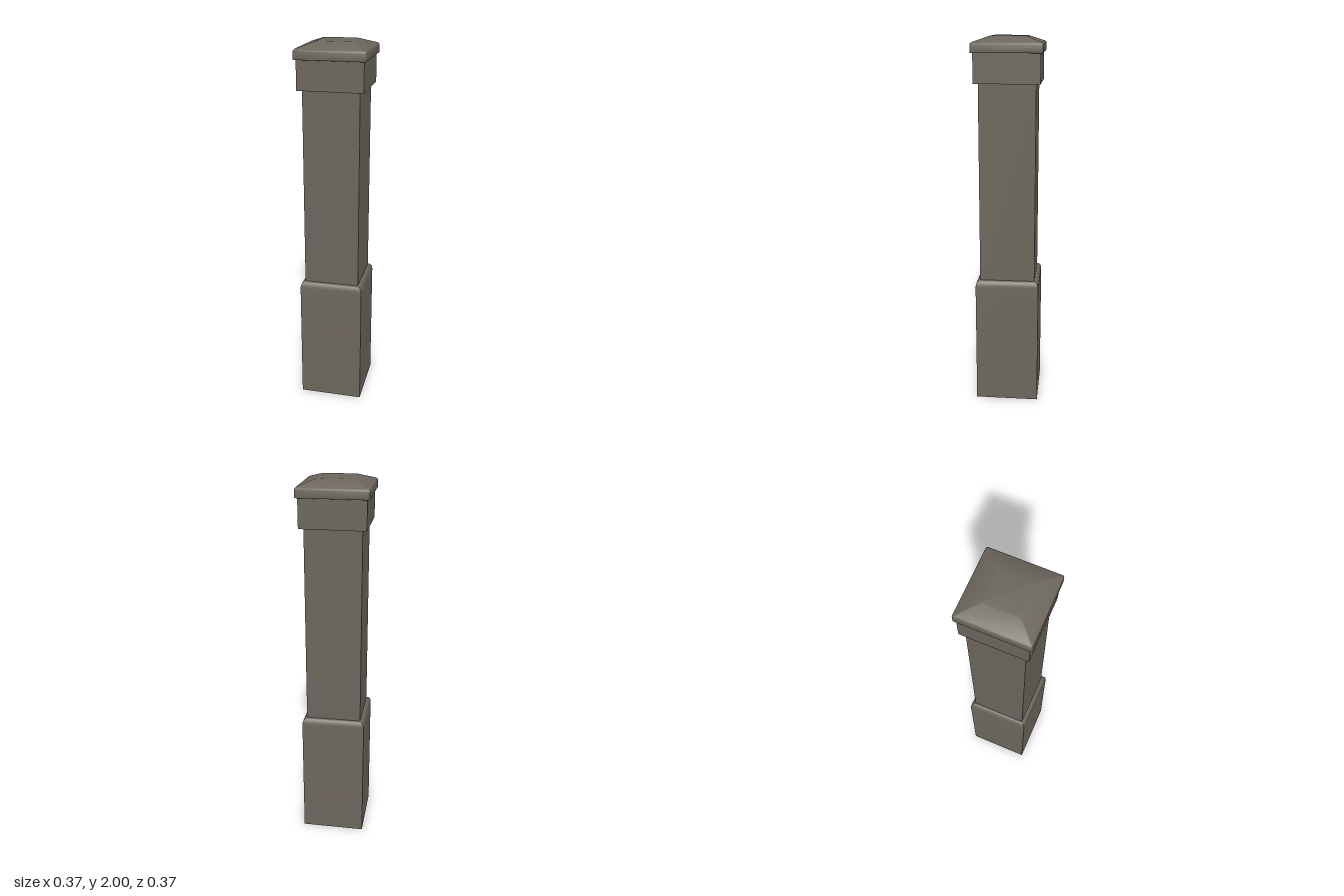
import * as THREE from 'three';
import { toCreasedNormals } from 'three/addons/utils/BufferGeometryUtils.js';

// Points of a square section, with optionally rounded corners
function squareRing(half, y, radius) {
  const r = Math.min(radius, half);
  const steps = radius > 0 ? 3 : 0;
  const ring = [];
  for (let corner = 0; corner < 4; corner++) {
    const mid = Math.PI / 4 + corner * Math.PI / 2;
    const sx = Math.sign(Math.cos(mid)), sz = Math.sign(Math.sin(mid));
    for (let s = 0; s <= steps; s++) {
      const a = corner * Math.PI / 2 + (steps ? s / steps : 0.5) * Math.PI / 2;
      ring.push([sx * (half - r) + r * Math.cos(a), y, sz * (half - r) + r * Math.sin(a)]);
    }
  }
  return ring;
}

// Square loft through [half width, height] pairs, from bottom to top
function squareLoft(profile, radius, crease) {
  const rings = profile.map(([half, y]) => squareRing(half, y, radius));
  const n = rings[0].length;
  const positions = [];
  for (let i = 0; i < rings.length - 1; i++) {
    for (let j = 0; j < n; j++) {
      const k = (j + 1) % n;
      const a = rings[i][j], b = rings[i][k], c = rings[i + 1][j], d = rings[i + 1][k];
      if (profile[i][0] > 0) positions.push(...a, ...c, ...b);
      if (profile[i + 1][0] > 0) positions.push(...b, ...c, ...d);
    }
  }
  const geometry = new THREE.BufferGeometry();
  geometry.setAttribute('position', new THREE.Float32BufferAttribute(positions, 3));
  return toCreasedNormals(geometry, crease);
}

export function createModel() {
  const group = new THREE.Group();
  group.name = 'post';
  const paint = new THREE.MeshStandardMaterial({ color: 0x6b655c, side: THREE.DoubleSide });
  paint.name = 'warm grey paint';

  const add = (name, profile, radius = 0, crease = 0.6) => {
    const mesh = new THREE.Mesh(squareLoft(profile, radius, crease), paint);
    mesh.name = name;
    group.add(mesh);
  };

  // Hollow base sleeve, open underneath, with a rounded shoulder
  const shoulder = [];
  for (let i = 0; i <= 5; i++) {
    const a = i / 5 * Math.PI / 2;
    shoulder.push([0.148 + 0.023 * Math.cos(a), 0.67 + 0.038 * Math.sin(a)]);
  }
  add('baseSleeve', [[0.171, 0], ...shoulder]);

  // Plain square shaft
  add('shaft', [[0.148, 0.708], [0.148, 1.766]]);

  // Collar with a ledge underneath
  add('collar', [[0.148, 1.766], [0.171, 1.766], [0.171, 1.918]]);

  // Cap with softened edges and a flattened pyramid top
  add('cap', [
    [0.171, 1.918], [0.182, 1.918], [0.184, 1.921], [0.184, 1.957],
    [0.182, 1.964], [0.177, 1.969], [0.095, 1.998], [0.085, 2], [0, 2],
  ], 0.008, 0.65);

  return group;
}
